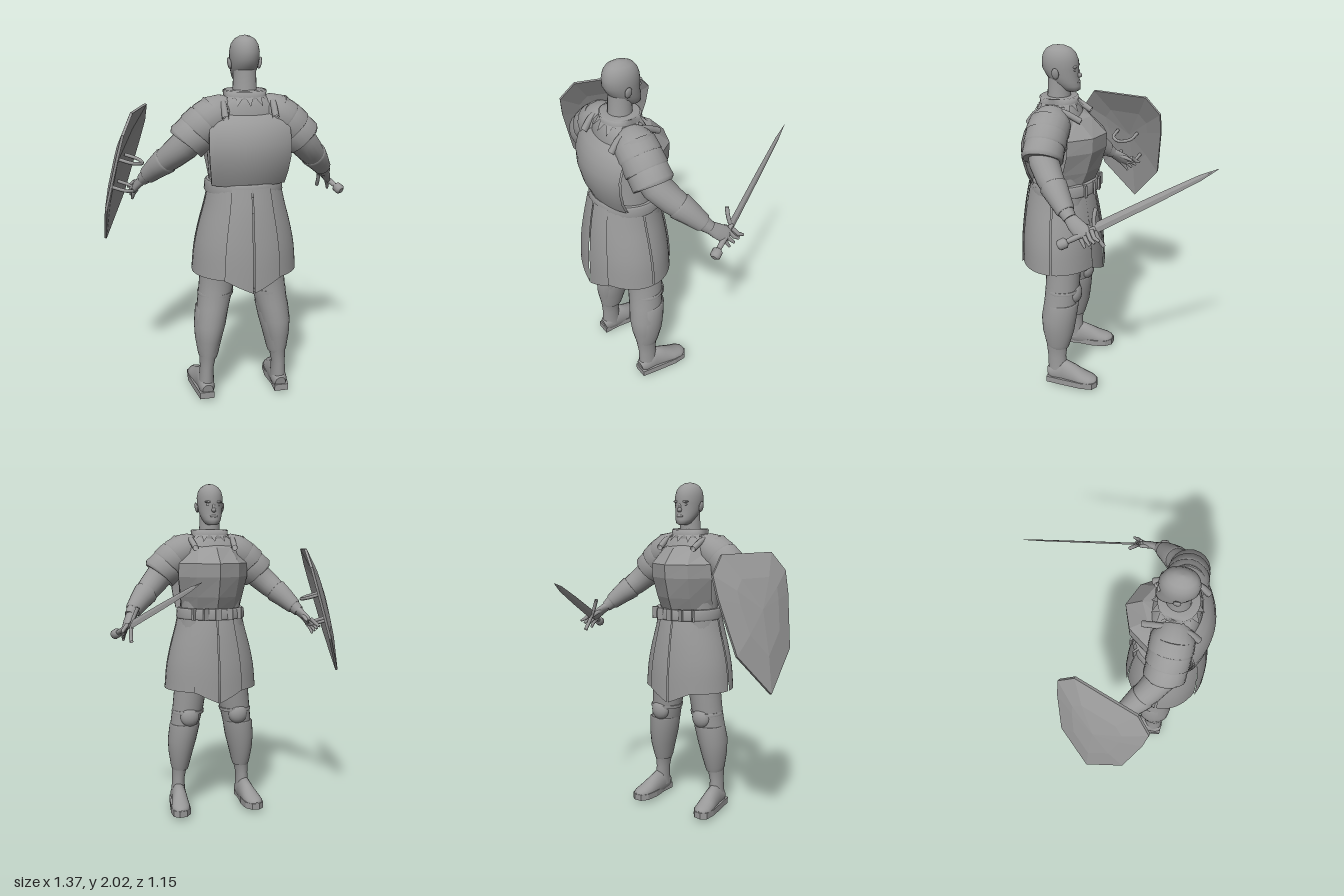
import * as THREE from 'three';

const V = (x, y, z) => new THREE.Vector3(x, y, z);
const CX = 0.055; // body axis; the figure faces -z
const steel = new THREE.MeshStandardMaterial({ color: 0x999999, side: THREE.DoubleSide });
steel.name = 'steel grey';

function geo(pos, idx, flat) {
  let g = new THREE.BufferGeometry();
  g.setAttribute('position', new THREE.Float32BufferAttribute(pos, 3));
  g.setIndex(idx);
  if (flat) g = g.toNonIndexed();
  g.computeVertexNormals();
  return g;
}

// Skin elliptical rings [x, y, z, ru, rv]; "level" keeps the rings horizontal
function loft(rows, { n = 24, ref = V(1, 0, 0), level = true, flat = false, caps = true } = {}) {
  const pos = [], idx = [], c = rows.map(r => V(r[0], r[1], r[2]));
  const ring = (i) => {
    const T = c[Math.min(i + 1, c.length - 1)].clone().sub(c[Math.max(i - 1, 0)]);
    if (level) T.set(0, Math.sign(T.y), 0);
    T.normalize();
    const U = ref.clone().addScaledVector(T, -ref.dot(T)).normalize(), W = T.clone().cross(U);
    const [, , , ru, rv = ru] = rows[i];
    for (let j = 0; j < n; j++) {
      const t = j / n * Math.PI * 2;
      const p = c[i].clone().addScaledVector(U, Math.cos(t) * ru).addScaledVector(W, Math.sin(t) * rv);
      pos.push(p.x, p.y, p.z);
    }
  };
  rows.forEach((_, i) => ring(i));
  for (let i = 0; i < rows.length - 1; i++) for (let j = 0; j < n; j++) {
    const a = i * n + j, b = i * n + (j + 1) % n;
    idx.push(a, b, b + n, a, b + n, a + n);
  }
  if (caps) [0, rows.length - 1].forEach((i) => {
    const base = pos.length / 3;
    ring(i);
    pos.push(c[i].x, c[i].y, c[i].z);
    for (let j = 0; j < n; j++) {
      const a = base + j, b = base + (j + 1) % n;
      i ? idx.push(a, b, base + n) : idx.push(b, a, base + n);
    }
  });
  return geo(pos, idx, flat);
}

// Open sheet from f(u, v) -> Vector3
function sheet(us, vs, f, flat) {
  const pos = [], idx = [], m = us.length;
  vs.forEach(v => us.forEach(u => pos.push(...f(u, v).toArray())));
  for (let i = 0; i < vs.length - 1; i++) for (let j = 0; j < m - 1; j++) {
    const a = i * m + j;
    idx.push(a, a + 1, a + m + 1, a, a + m + 1, a + m);
  }
  return geo(pos, idx, flat);
}
const steps = (a, b, n) => Array.from({ length: n + 1 }, (_, i) => a + (b - a) * i / n);

export function createModel() {
  const model = new THREE.Group();
  const add = (name, g, x = 0, y = 0, z = 0) => {
    const m = new THREE.Mesh(g, steel);
    m.name = name;
    m.position.set(x, y, z);
    model.add(m);
    return m;
  };
  const ball = (name, x, y, z, sx, sy, sz) => {
    const m = add(name, new THREE.SphereGeometry(1, 18, 12), x, y, z);
    m.scale.set(sx, sy, sz);
    return m;
  };
  const body = (rows, o) => loft(rows.map(([y, rx, rz, z]) => [CX, y, z, rx, rz]), o);

  // Head and neck
  add('head', body([[1.755, 0.025, 0.03, 0.245], [1.765, 0.042, 0.05, 0.25], [1.785, 0.054, 0.064, 0.264], [1.81, 0.064, 0.077, 0.28],
    [1.84, 0.071, 0.089, 0.296], [1.88, 0.076, 0.1, 0.306], [1.92, 0.077, 0.1, 0.307], [1.955, 0.069, 0.09, 0.309],
    [1.98, 0.052, 0.07, 0.311], [1.995, 0.027, 0.04, 0.313], [2, 0.004, 0.004, 0.313]], { n: 32 }));
  add('neck', body([[1.62, 0.085, 0.085, 0.33], [1.7, 0.063, 0.065, 0.32], [1.84, 0.058, 0.06, 0.315]]));
  ball('nose', CX, 1.842, 0.206, 0.014, 0.014, 0.017);
  ball('noseBridge', CX, 1.865, 0.213, 0.009, 0.025, 0.012).rotation.x = 0.3;
  ball('mouth', CX, 1.806, 0.208, 0.024, 0.008, 0.009);
  for (const s of [-1, 1]) {
    ball('ear', CX + s * 0.08, 1.86, 0.315, 0.01, 0.031, 0.02).rotation.z = -s * 0.2;
    ball('brow', CX + s * 0.03, 1.89, 0.218, 0.024, 0.007, 0.01);
    ball('eye', CX + s * 0.03, 1.873, 0.222, 0.013, 0.007, 0.008);
  }

  // Torso and collar
  add('torso', body([[1.1, 0.19, 0.16, 0.31], [1.25, 0.185, 0.15, 0.31], [1.4, 0.195, 0.155, 0.305], [1.52, 0.2, 0.15, 0.305],
    [1.6, 0.2, 0.135, 0.315], [1.66, 0.17, 0.115, 0.325], [1.69, 0.11, 0.095, 0.325]], { n: 32 }));
  add('collar', body([[1.665, 0.108, 0.1, 0.32], [1.725, 0.114, 0.106, 0.32], [1.73, 0.108, 0.1, 0.32], [1.69, 0.09, 0.085, 0.32]], { caps: false, n: 32 }));
  for (let i = 0; i < 14; i++) {
    const t = i / 14 * Math.PI * 2, r = [0.112, 0.152];
    const p = (a, k, y) => V(CX + Math.sin(a) * r[k], y, 0.32 + Math.cos(a) * r[k] * 0.9);
    add('collarPoint', geo([...p(t - 0.2, 0, 1.7).toArray(), ...p(t, 1, 1.655).toArray(), ...p(t + 0.2, 0, 1.7).toArray()], [0, 1, 2]));
  }

  // Breastplate (faceted, ridged) and curved back plate
  const front = [[1.25, 0.185, 0.13], [1.33, 0.195, 0.095], [1.45, 0.215, 0.06], [1.53, 0.21, 0.055], [1.62, 0.165, 0.14]];
  const drop = u => (u > 0.6 ? 0.05 + (u - 0.6) * 0.3 : u * 0.083);
  add('breastplate', sheet([1, 0.6, 0, -0.6, -1], front, (u, r) => V(CX + u * r[1], r[0], r[2] + drop(Math.abs(u))), true));
  add('breastplateTop', sheet([1, 0.6, 0, -0.6, -1], [0, 1], (u, v) =>
    V(CX + u * (0.165 - v * 0.02), 1.62 + v * 0.03, 0.14 + drop(Math.abs(u)) * (1 - v) + v * 0.12), true));
  const back = [[1.25, 0.195, 0.485], [1.32, 0.205, 0.515], [1.4, 0.214, 0.532], [1.47, 0.215, 0.533], [1.53, 0.212, 0.515], [1.58, 0.208, 0.488], [1.62, 0.175, 0.45]];
  for (const d of [0, 0.012]) add('backPlate', sheet(steps(-1, 1, 12), back, (u, r) =>
    V(CX + u * r[1], r[0] - 0.01 * (1 - u * u) * (r[0] > 1.6 ? 1 : 0), r[2] - 0.06 * u * u - d)));
  for (const s of [-1, 1]) {
    const strap = new THREE.CatmullRomCurve3([V(0.13, 1.6, 0.46), V(0.13, 1.665, 0.4), V(0.13, 1.67, 0.27), V(0.12, 1.62, 0.17)].map(p => V(CX + s * p.x, p.y, p.z)));
    add('shoulderStrap', new THREE.TubeGeometry(strap, 16, 0.018, 8));
  }

  // Belt with front tabs
  add('belt', body([[1.195, 0.206, 0.194, 0.305], [1.205, 0.212, 0.2, 0.305], [1.25, 0.208, 0.196, 0.305], [1.26, 0.2, 0.188, 0.305]], { n: 36 }));
  for (const a of [-0.7, -0.35, 0, 0.35, 0.7]) {
    const t = add('beltTab', new THREE.BoxGeometry(0.035, 0.07, 0.012), CX + Math.sin(a) * 0.214, 1.23, 0.305 - Math.cos(a) * 0.202);
    t.rotation.y = a;
  }

  // Skirt: eight separate panels, the centre ones pointed
  const prof = new THREE.CatmullRomCurve3([V(0.195, 1.24, 0.175), V(0.22, 1.13, 0.198), V(0.25, 1.02, 0.215), V(0.275, 0.9, 0.228), V(0.288, 0.76, 0.234)]);
  const cut = 0.5;
  for (const face of [0, Math.PI]) for (const s of [-1, 1]) for (const mid of [true, false]) {
    const [a, b] = mid ? [0.015, cut + 0.03] : [cut, Math.PI / 2 - 0.02];
    add(mid ? 'centreTasset' : 'sideTasset', sheet(steps(a, b, 10), steps(0, 1, 12), (u, v) => {
      const p = prof.getPoint(v), k = mid ? 1.035 : 1, t = face + s * u;
      const dip = mid ? 0.068 * Math.max(0, 1 - u / cut) * v * v : 0;
      return V(CX + Math.sin(t) * p.x * k, p.y - dip, 0.325 + Math.cos(t) * p.z * k);
    }));
  }

  for (const s of [-1, 1]) {
    const side = (rows, o) => loft(rows.map(([x, ...r]) => [CX + s * x, ...r]), o);

    // Leg, greave and knee cap
    add('leg', side([[0.1, 1.2, 0.31, 0.1, 0.14], [0.115, 0.95, 0.3, 0.108, 0.125], [0.135, 0.76, 0.29, 0.1, 0.102], [0.15, 0.64, 0.295, 0.096, 0.1],
      [0.168, 0.54, 0.305, 0.09, 0.098], [0.187, 0.44, 0.318, 0.085, 0.1], [0.197, 0.35, 0.325, 0.07, 0.088], [0.203, 0.25, 0.328, 0.048, 0.065],
      [0.21, 0.17, 0.33, 0.038, 0.055], [0.213, 0.05, 0.325, 0.045, 0.06]]));
    add('greave', side([[0.172, 0.535, 0.29, 0.085, 0.085], [0.172, 0.53, 0.295, 0.094, 0.098], [0.187, 0.43, 0.31, 0.089, 0.1],
      [0.196, 0.35, 0.315, 0.076, 0.092], [0.2, 0.26, 0.322, 0.058, 0.072], [0.2, 0.235, 0.322, 0.05, 0.063]]));
    add('kneeBand', side([[0.15, 0.625, 0.293, 0.099, 0.103], [0.153, 0.615, 0.293, 0.1, 0.104], [0.153, 0.605, 0.293, 0.099, 0.103]]));
    ball('kneeCap', CX + s * 0.155, 0.59, 0.225, 0.06, 0.065, 0.045);

    // Sandal sole and shoe
    const shape = new THREE.Shape([[-0.045, 0.39], [-0.052, 0.3], [-0.06, 0.17], [-0.05, 0.1], [-0.015, 0.075], [0.03, 0.08], [0.058, 0.12], [0.06, 0.2], [0.04, 0.3], [0.035, 0.39]]
      .map(([x, z]) => new THREE.Vector2(CX + s * (0.213 + x * -1 + (0.39 - z) * 0.08), z)));
    const sole = new THREE.ExtrudeGeometry(shape, { depth: 0.038, bevelEnabled: false });
    add('sole', sole.rotateX(Math.PI / 2), 0, 0.038, 0);
    add('shoe', side([[0.213, 0.05, 0.385, 0.03, 0.035], [0.213, 0.055, 0.36, 0.044, 0.055], [0.216, 0.065, 0.29, 0.046, 0.085], [0.222, 0.05, 0.23, 0.05, 0.07],
      [0.23, 0.04, 0.17, 0.056, 0.048], [0.236, 0.035, 0.12, 0.053, 0.036], [0.238, 0.035, 0.09, 0.035, 0.024], [0.238, 0.035, 0.08, 0.01, 0.01]], { level: false }));

    // Arm, bracer and layered shoulder guard
    const arm = { level: false, ref: V(0, 0, 1), n: 20 };
    add('arm', side([[0.15, 1.62, 0.335, 0.1], [0.25, 1.53, 0.335, 0.092], [0.32, 1.445, 0.32, 0.08], [0.38, 1.385, 0.275, 0.072],
      [0.44, 1.325, 0.22, 0.06], [0.495, 1.265, 0.165, 0.042], [0.52, 1.235, 0.135, 0.034]], arm));
    add('bracer', side([[0.405, 1.36, 0.252, 0.066], [0.41, 1.355, 0.248, 0.073], [0.45, 1.315, 0.21, 0.062], [0.495, 1.265, 0.165, 0.049], [0.5, 1.26, 0.16, 0.042]], arm));
    add('shoulderGuard', side([[0.07, 1.645, 0.33, 0.06], [0.1, 1.63, 0.33, 0.093, 0.085], [0.15, 1.605, 0.332, 0.114, 0.105], [0.2, 1.568, 0.335, 0.117, 0.112], [0.215, 1.555, 0.335, 0.106]], arm));
    for (const k of [0, 1]) {
      const x = 0.2 + k * 0.055, y = 1.57 - k * 0.052, r = 0.113 - k * 0.004;
      add('shoulderLame', side([[x, y, 0.335, r - 0.01], [x + 0.005, y - 0.005, 0.335, r], [x + 0.055, y - 0.052, 0.334, r + 0.002], [x + 0.058, y - 0.056, 0.334, r - 0.012]], arm));
    }

    // Hand with spread fingers
    add('hand', side([[0.513, 1.243, 0.145, 0.03, 0.028], [0.535, 1.215, 0.11, 0.04, 0.022], [0.552, 1.185, 0.07, 0.045, 0.02], [0.56, 1.168, 0.05, 0.036, 0.014]], arm));
    for (let f = 0; f < 4; f++) {
      const z = 0.085 - f * 0.022, y = 1.165 + f * 0.011;
      add('finger', side([[0.553, y, z, 0.012], [0.568 + f * 0.004, y - 0.03, z - 0.022, 0.011], [0.575 + f * 0.005, y - 0.06 + f * 0.006, z - 0.038 - f * 0.004, 0.007]], { ...arm, n: 8 }));
    }
    add('thumb', side([[0.53, 1.215, 0.09, 0.015], [0.525, 1.2, 0.04, 0.012], [0.53, 1.185, 0.01, 0.008]], { ...arm, n: 8, ref: V(0, 1, 0) }));
  }

  // Sword in the +x hand
  const tip = V(0.32, 1.46, -0.58), pommel = V(0.657, 1.13, 0.157);
  const at = t => pommel.clone().lerp(tip, t), wide = V(0.25, -0.93, -0.25);
  const rod = (name, rows, o) => add(name, loft(rows.map(([t, a, b]) => [...at(t).toArray(), a, b]), { level: false, ref: wide, ...o }));
  rod('blade', [[0.21, 0.026, 0.006], [0.6, 0.022, 0.005], [0.88, 0.015, 0.004], [1, 0.001, 0.001]], { n: 4, flat: true });
  rod('grip', [[0.02, 0.013], [0.1, 0.016], [0.21, 0.013]], { n: 12 });
  rod('pommel', [[-0.03, 0.015], [-0.018, 0.028], [0.02, 0.028], [0.032, 0.015]], { n: 12 });
  const g = at(0.21);
  const guard = new THREE.QuadraticBezierCurve3(g.clone().addScaledVector(wide, -0.1).add(V(-0.015, 0, -0.02)), g.clone().add(V(0.01, 0, 0.03)), g.clone().addScaledVector(wide, 0.1).add(V(-0.015, 0, -0.02)));
  add('crossguard', new THREE.TubeGeometry(guard, 12, 0.011, 8));

  // Faceted shield beside the -x arm
  const O = V(-0.495, 1.5, 0.08), N = V(-0.91, 0.28, -0.29).normalize();
  const H = V(-0.305, 0, 0.952).addScaledVector(N, -V(-0.305, 0, 0.952).dot(N)).normalize(), U = N.clone().cross(H).normalize();
  if (U.y < 0) U.negate();
  const on = (a, b, d) => O.clone().addScaledVector(H, a).addScaledVector(U, b).addScaledVector(N, d);
  const half = [[0.18, 0.117], [0.265, 0.01], [0.255, -0.117], [0.195, -0.425]];
  const rim = [...half, [0, -0.655], ...half.slice().reverse().map(([a, b]) => [-a, b])];
  const rings = [[1, 0], [1, 0.014], [0.55, 0.045], [0, 0.06]];
  const dish = (k, d) => ([a, b]) => on(a * k, -0.2 + (b + 0.2) * k, d);
  const loop = [...rim, rim[0]];
  add('shieldFace', sheet(loop, rings, (p, [k, d]) => dish(k, d)(p), true));
  add('shieldBack', sheet(loop, [[1, 0], [0.55, 0.03], [0, 0.045]], (p, [k, d]) => dish(k, d)(p), true));
  for (const b of [-0.17, -0.33]) {
    const strap = new THREE.CatmullRomCurve3([on(-0.07, b, 0.03), on(-0.06, b, -0.05), on(0, b, -0.085), on(0.06, b, -0.05), on(0.07, b, 0.03)]);
    add('shieldStrap', new THREE.TubeGeometry(strap, 20, 0.01, 8));
  }
  return model;
}
